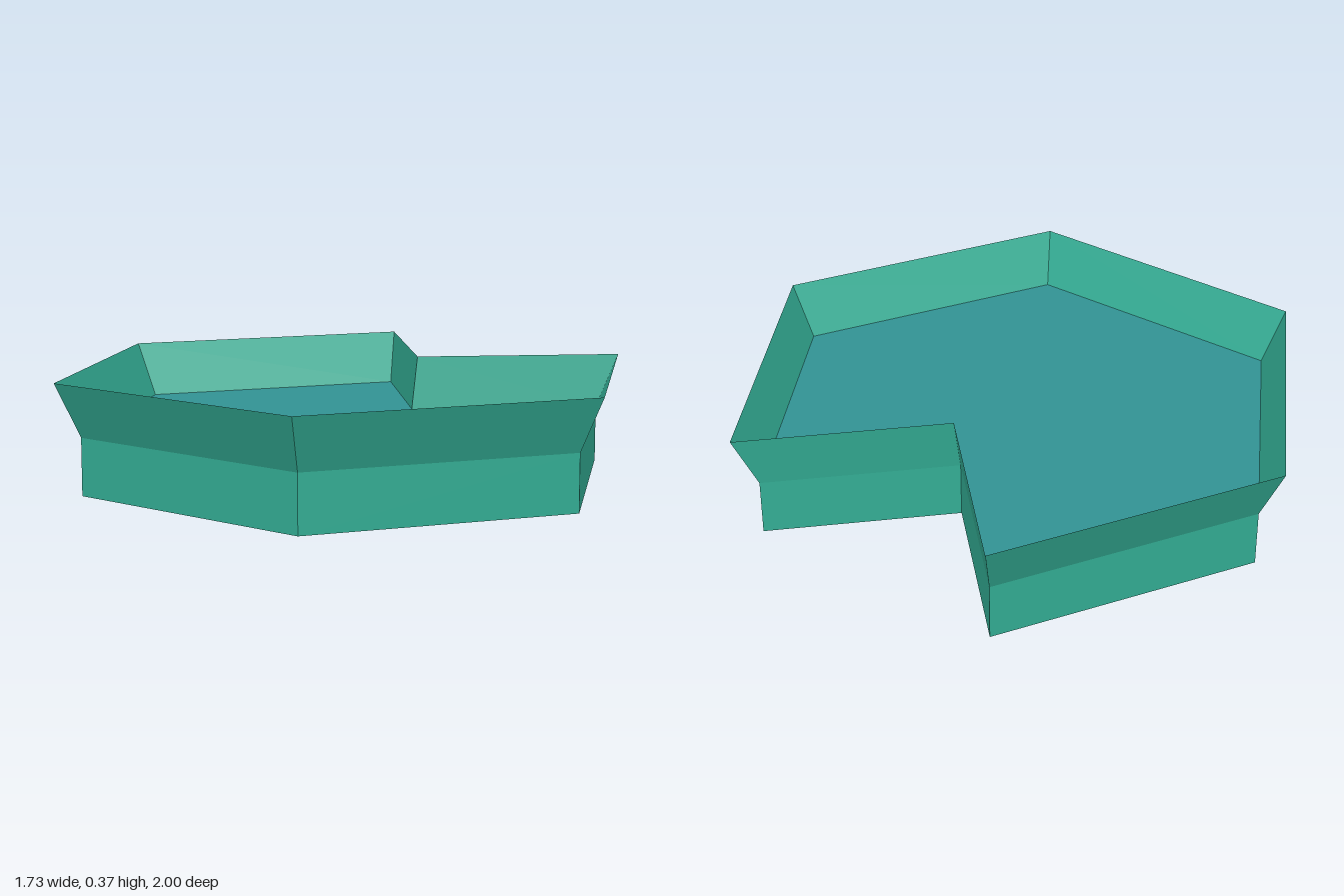
import * as THREE from 'three';

// Hexagon outline with one corner pair joined by a square notch on the +x side
const outline = [];
for (let i = 0; i < 6; i++) {
  const a = Math.PI / 6 + (i * Math.PI) / 3;
  outline.push(new THREE.Vector2(Math.cos(a), Math.sin(a)));
}
outline.push(new THREE.Vector2(Math.cos(Math.PI / 6) - 0.5, 0));

const BASE_SCALE = 0.916;
const FLOOR_Y = 0.19;
const RIM_Y = 0.37;

const scaled = (s) => outline.map((p) => p.clone().multiplyScalar(s));

// Flat-faced band of quads between two scaled outlines
function band(s0, y0, s1, y1) {
  const low = scaled(s0), high = scaled(s1), pos = [];
  const at = (p, y) => [p.x, y, -p.y];
  low.forEach((p, i) => {
    const j = (i + 1) % low.length;
    const a = at(p, y0), b = at(low[j], y0), c = at(high[j], y1), d = at(high[i], y1);
    pos.push(...a, ...b, ...c, ...a, ...c, ...d);
  });
  const g = new THREE.BufferGeometry();
  g.setAttribute('position', new THREE.Float32BufferAttribute(pos, 3));
  g.computeVertexNormals();
  return g;
}

// Horizontal plate facing up (dir = 1) or down (dir = -1)
function plate(y, dir) {
  return new THREE.ShapeGeometry(new THREE.Shape(scaled(BASE_SCALE)))
    .rotateX((-dir * Math.PI) / 2)
    .translate(0, y, 0);
}

export function createModel() {
  const green = new THREE.MeshStandardMaterial({ color: 0x33ad94, side: THREE.DoubleSide });
  green.name = 'green';
  const teal = new THREE.MeshStandardMaterial({ color: 0x329294 });
  teal.name = 'teal';

  const model = new THREE.Group();
  model.name = 'notchedHexTray';
  const add = (name, geometry, material) => {
    const mesh = new THREE.Mesh(geometry, material);
    mesh.name = name;
    model.add(mesh);
  };

  add('baseWall', band(BASE_SCALE, 0, BASE_SCALE, FLOOR_Y), green);
  add('flaredRim', band(BASE_SCALE, FLOOR_Y, 1, RIM_Y), green);
  add('underside', plate(0, -1), green);
  add('floor', plate(FLOOR_Y, 1), teal);
  return model;
}
